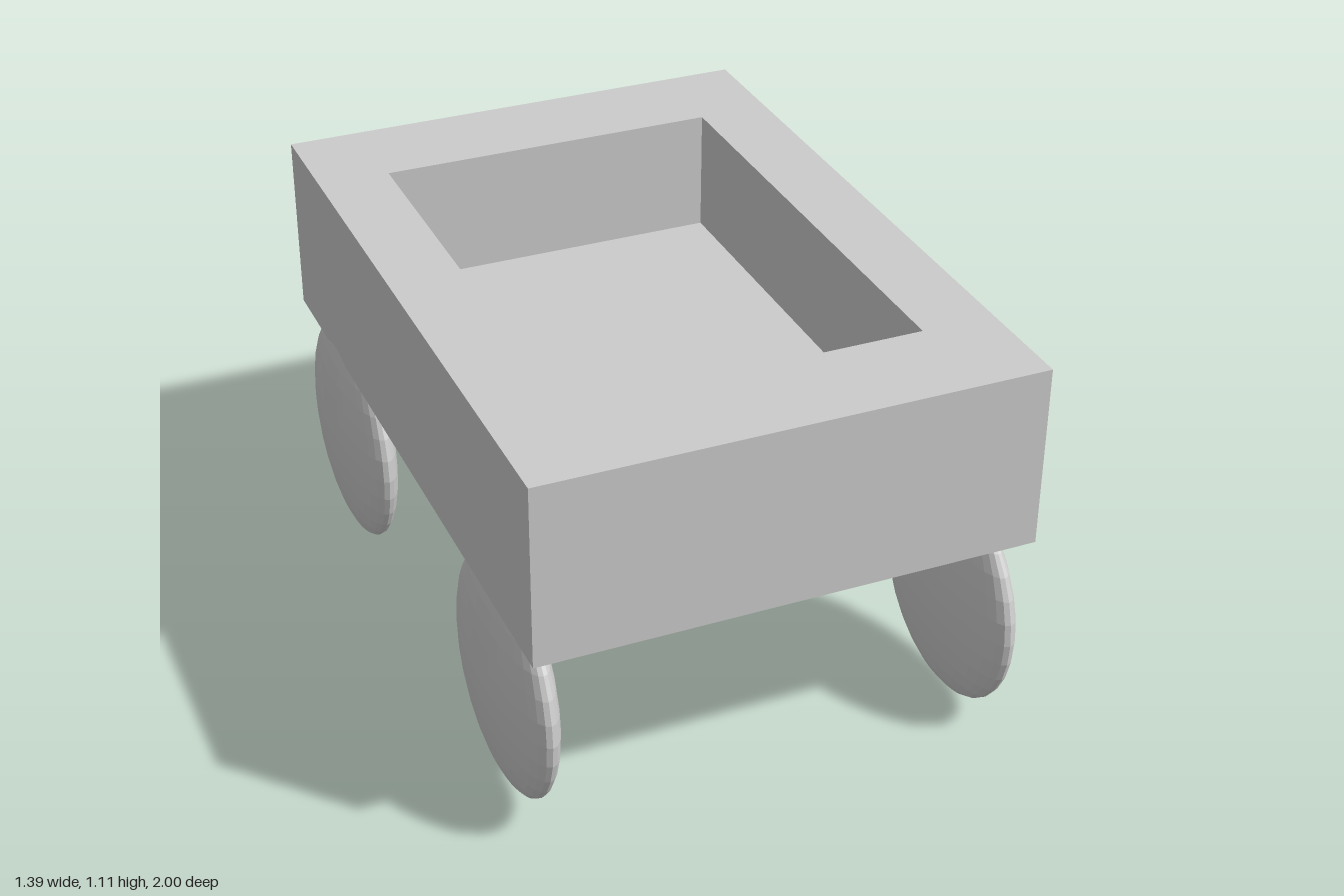
import * as THREE from 'three';

const material = new THREE.MeshStandardMaterial({ color: 0xcccccc, flatShading: true });

// Rectangle of four corners at height y, counter-clockwise seen from above
function ring(x0, x1, z0, z1, y) {
  return [[x0, y, z1], [x1, y, z1], [x1, y, z0], [x0, y, z0]];
}

// Closed tray skinned over rectangular rings: outside bottom, rim, cavity floor
function trayGeometry(rings) {
  const positions = [];
  const quad = (a, b, c, d) => positions.push(...a, ...b, ...c, ...a, ...c, ...d);
  for (let r = 0; r < rings.length - 1; r++) {
    for (let i = 0; i < 4; i++) {
      const j = (i + 1) % 4;
      quad(rings[r][i], rings[r][j], rings[r + 1][j], rings[r + 1][i]);
    }
  }
  const [a, b, c, d] = rings[0];
  quad(d, c, b, a); // underside
  quad(...rings[rings.length - 1]); // cavity floor
  const geometry = new THREE.BufferGeometry();
  geometry.setAttribute('position', new THREE.Float32BufferAttribute(positions, 3));
  geometry.computeVertexNormals();
  return geometry;
}

export function createModel() {
  const group = new THREE.Group();

  // Thick-walled open cart body
  const outer = [-0.667, 0.671, -0.94, 0.96];
  const inner = [-0.47, 0.472, -0.66, 0.676];
  const body = new THREE.Mesh(trayGeometry([
    ring(...outer, 0.61),
    ring(...outer, 1.11),
    ring(...inner, 1.11),
    ring(...inner, 0.77),
  ]), material);
  body.name = 'cartBody';
  group.add(body);

  // Flattened ball wheels, placed slightly unevenly
  const wheelGeometry = new THREE.SphereGeometry(1, 32, 16);
  const wheels = {
    frontLeftWheel: [0.602, 0.33, 0.68],
    backLeftWheel: [0.622, 0.323, -0.68],
    frontRightWheel: [-0.622, 0.358, 0.642],
    backRightWheel: [-0.627, 0.358, -0.61],
  };
  for (const [name, position] of Object.entries(wheels)) {
    const wheel = new THREE.Mesh(wheelGeometry, material);
    wheel.name = name;
    wheel.position.set(...position);
    wheel.scale.set(0.073, 0.32, 0.32);
    group.add(wheel);
  }
  return group;
}
